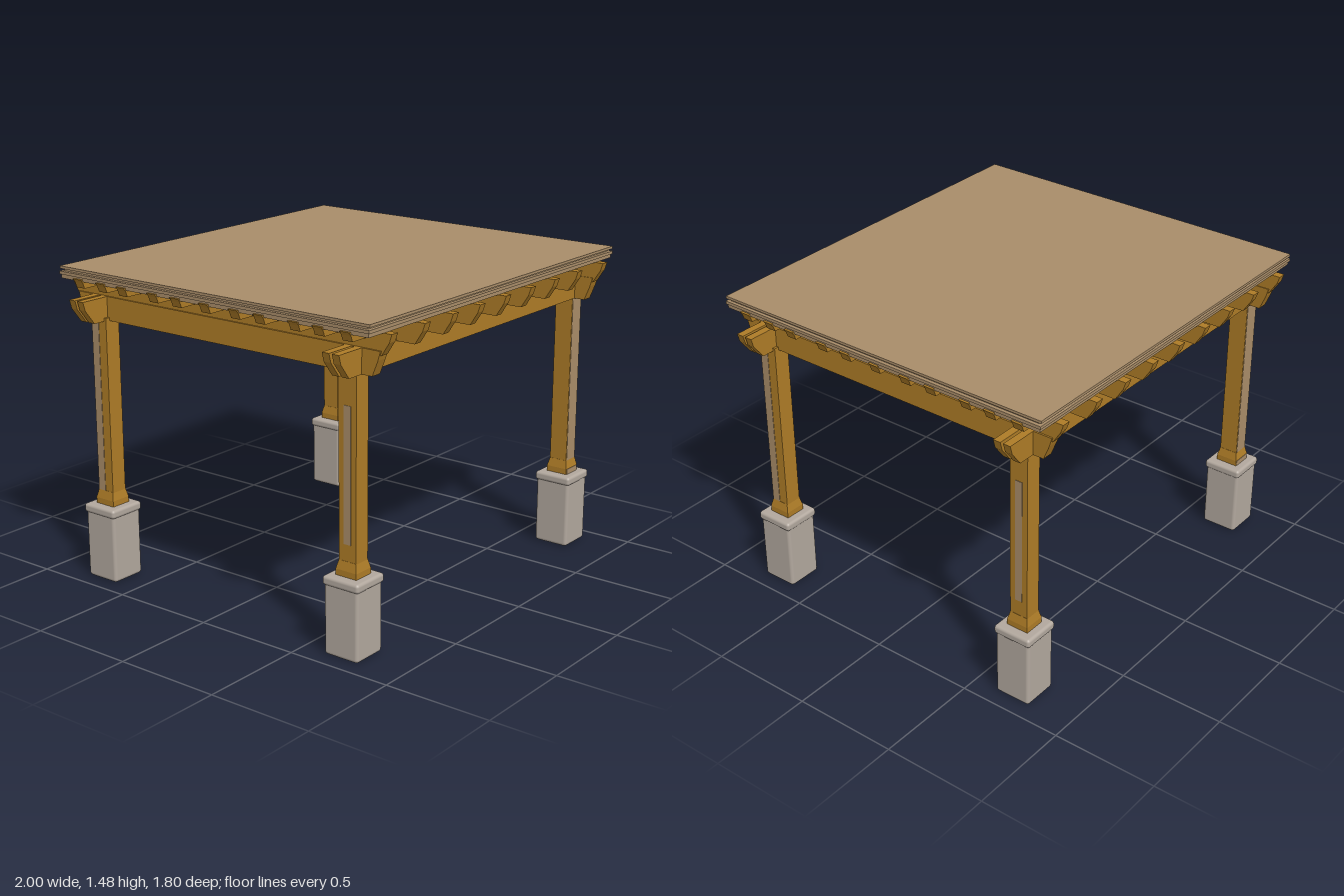
import * as THREE from 'three';
import { RoundedBoxGeometry } from 'three/addons/geometries/RoundedBoxGeometry.js';

export function createModel() {
  const model = new THREE.Group();
  model.name = 'pergola';

  const material = (name, color) => {
    const m = new THREE.MeshStandardMaterial({ color });
    m.name = name;
    return m;
  };
  const wood = material('golden wood', 0xae7c27);
  const tan = material('weathered tan', 0xa98d69);
  const stone = material('pale stone', 0xb2a89e);

  const add = (parent, name, geometry, mat, x = 0, y = 0, z = 0) => {
    const mesh = new THREE.Mesh(geometry, mat);
    mesh.name = name;
    mesh.position.set(x, y, z);
    parent.add(mesh);
    return mesh;
  };
  const box = (w, h, d) => new THREE.BoxGeometry(w, h, d);

  // Timber along x with sloped ends: half length at the top and at the bottom
  const timber = (top, bottom, y0, y1, width) => {
    const nose = y0 + (y1 - y0) * 0.62;
    const s = new THREE.Shape([
      [-bottom, y0], [bottom, y0], [top - 0.012, nose], [top, y1],
      [-top, y1], [-top + 0.012, nose],
    ].map(([x, y]) => new THREE.Vector2(x, y)));
    return new THREE.ExtrudeGeometry(s, { depth: width, bevelEnabled: false })
      .translate(0, 0, -width / 2);
  };

  // Box whose top is narrower than its bottom
  const taper = (w, d, h, k) => {
    const g = box(w, h, d);
    const p = g.attributes.position;
    for (let i = 0; i < p.count; i++) {
      if (p.getY(i) > 0) {
        p.setX(i, p.getX(i) * k);
        p.setZ(i, p.getZ(i) * k);
      }
    }
    g.computeVertexNormals();
    return g;
  };

  // Four posts on stone plinths
  for (const sx of [-1, 1]) {
    for (const sz of [-1, 1]) {
      const post = new THREE.Group();
      post.name = 'post';
      post.position.set(sx * 0.837, 0, sz * 0.705);
      model.add(post);
      add(post, 'plinth', new RoundedBoxGeometry(0.174, 0.34, 0.178, 2, 0.016), stone, 0, 0.17, 0);
      add(post, 'plinthCap', new RoundedBoxGeometry(0.187, 0.042, 0.19, 2, 0.014), stone, 0, 0.337, 0);
      add(post, 'postFoot', box(0.1, 0.03, 0.108), wood, 0, 0.37, 0);
      add(post, 'postFlare', taper(0.1, 0.108, 0.04, 0.82), wood, 0, 0.405, 0);
      add(post, 'postShaft', box(0.08, 0.9, 0.09), wood, 0, 0.8, 0);

      // Weathered patches, alternating between diagonal pairs
      if (sx === sz) {
        add(post, 'wornFace', box(0.074, 0.81, 0.003), tan, 0, 0.83, sz * 0.0455);
        add(post, 'wornFoot', box(0.092, 0.028, 0.003), tan, 0, 0.37, sz * 0.0545);
        add(post, 'wornStrip', box(0.003, 0.81, 0.042), tan, sx * 0.0405, 0.83, sz * 0.022);
      } else {
        add(post, 'wornStrip', box(0.003, 0.6, 0.036), tan, sx * 0.0405, 0.8, 0);
        add(post, 'plinthStain', box(0.1, 0.2, 0.003), tan, -sx * 0.022, 0.18, -sz * 0.0892);
      }
    }
  }

  // Paired main beams along x
  const mainBeam = timber(1, 0.935, 1.235, 1.345, 0.036);
  for (const z of [-0.74, -0.69, 0.69, 0.74]) add(model, 'mainBeam', mainBeam, wood, 0, 0, z);

  // Side beams along z
  const sideBeam = timber(0.85, 0.81, 1.235, 1.345, 0.052).rotateY(Math.PI / 2);
  for (const x of [-0.827, 0.827]) add(model, 'sideBeam', sideBeam, wood, x);

  // Rafters along z
  const rafter = timber(0.9, 0.85, 1.325, 1.42, 0.04).rotateY(Math.PI / 2);
  for (const x of [-0.825, -0.6, -0.4, -0.2, 0, 0.2, 0.4, 0.6, 0.825]) {
    add(model, 'rafter', rafter, wood, x);
  }

  // Slats along x under the roof
  const slat = timber(0.957, 0.935, 1.388, 1.43, 0.05);
  for (const z of [-0.75, -0.61, -0.485, -0.3, -0.165, 0, 0.165, 0.3, 0.485, 0.61, 0.75]) {
    add(model, 'slat', slat, wood, 0, 0, z);
  }

  // Layered roof deck with a recessed groove around its edge
  add(model, 'roofLowerBoard', box(1.89, 0.018, 1.72), tan, 0, 1.429, 0);
  add(model, 'roofMiddleBoard', box(1.9, 0.014, 1.735), tan, 0, 1.445, 0);
  add(model, 'roofGroove', box(1.868, 0.012, 1.7), tan, 0, 1.457, 0);
  add(model, 'roofTopSheet', box(1.892, 0.012, 1.735), tan, 0, 1.469, 0);

  return model;
}
